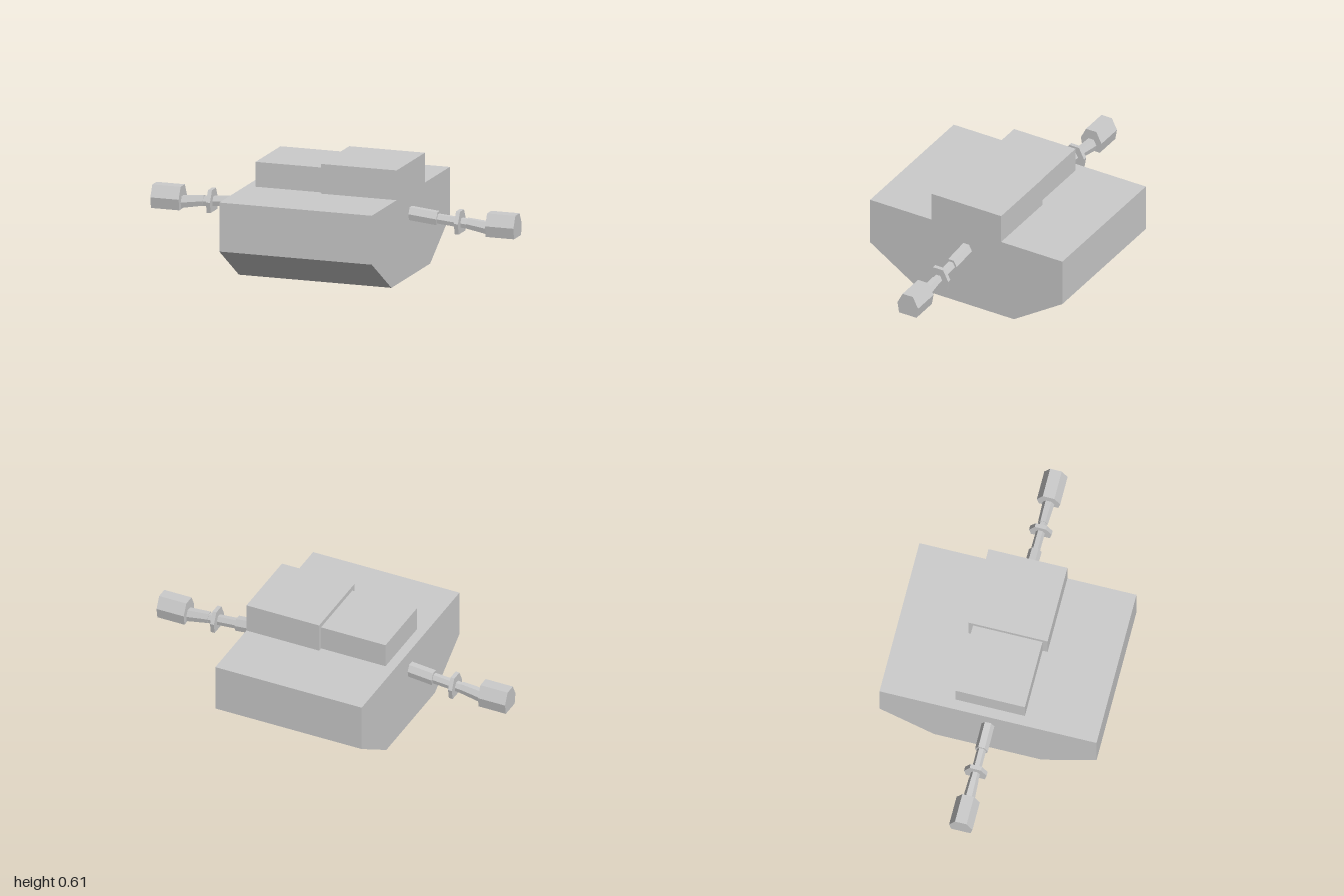
import * as THREE from 'three';

// Irregular six-sided cross-section as [z, y], scaled by a radius
const SECTION = [[0.5, 1], [-0.5, 1], [-1, 0], [-0.84, -0.94], [0.84, -0.94], [1, 0]];

// Closed prism along +x between two stations, each [x, y, radius]
function hexPrism(start, end) {
  const ring = ([x, y, r]) => SECTION.map(([z, h]) => [x, y + h * r, z * r]);
  const a = ring(start), b = ring(end), n = SECTION.length, pos = [];
  for (let i = 0; i < n; i++) {
    const j = (i + 1) % n;
    pos.push(...a[i], ...b[i], ...b[j], ...a[i], ...b[j], ...a[j]);
  }
  for (let i = 1; i < n - 1; i++) {
    pos.push(...a[0], ...a[i], ...a[i + 1], ...b[0], ...b[i + 1], ...b[i]);
  }
  const geometry = new THREE.BufferGeometry();
  geometry.setAttribute('position', new THREE.Float32BufferAttribute(pos, 3));
  geometry.computeVertexNormals();
  return geometry;
}

export function createModel() {
  const model = new THREE.Group();
  model.name = 'model';
  const grey = new THREE.MeshStandardMaterial({ color: 0xcccccc, flatShading: true });
  grey.name = 'light grey';

  const add = (parent, name, geometry) => {
    const mesh = new THREE.Mesh(geometry, grey);
    mesh.name = name;
    parent.add(mesh);
    return mesh;
  };

  // Wide body with bevelled underside, swept across x
  const profile = new THREE.Shape([
    [-0.287, 0], [0.287, 0], [0.578, 0.188], [0.578, 0.448], [-0.578, 0.448], [-0.578, 0.188],
  ].map(([z, y]) => new THREE.Vector2(z, y)));
  const body = new THREE.ExtrudeGeometry(profile, { depth: 0.84, bevelEnabled: false });
  body.rotateY(Math.PI / 2).translate(-0.428, 0, 0);
  add(model, 'body', body);

  // Two blocks of different height on the deck
  const block = (name, x0, x1, top, z0, z1) => {
    const bottom = 0.44;
    add(model, name, new THREE.BoxGeometry(x1 - x0, top - bottom, z1 - z0))
      .position.set((x0 + x1) / 2, (top + bottom) / 2, (z0 + z1) / 2);
  };
  block('tallBlock', -0.005, 0.412, 0.606, -0.21, 0.21);
  block('lowBlock', -0.375, -0.005, 0.58, -0.187, 0.183);

  // Segmented arms, drooping slightly outwards
  const segments = [
    ['upperArm', [0.38, 0.337, 0.034], [0.565, 0.319, 0.034]],
    ['forearm', [0.55, 0.318, 0.024], [0.73, 0.303, 0.024]],
    ['collar', [0.672, 0.31, 0.06], [0.694, 0.309, 0.06]],
    ['wrist', [0.725, 0.306, 0.026], [0.86, 0.288, 0.032]],
    ['endPiece', [0.844, 0.312, 0.062], [1, 0.312, 0.062]],
  ];
  for (const [name, turn] of [['leftArm', 0], ['rightArm', Math.PI]]) {
    const arm = new THREE.Group();
    arm.name = name;
    arm.rotation.y = turn;
    for (const [part, start, end] of segments) add(arm, part, hexPrism(start, end));
    model.add(arm);
  }
  return model;
}
